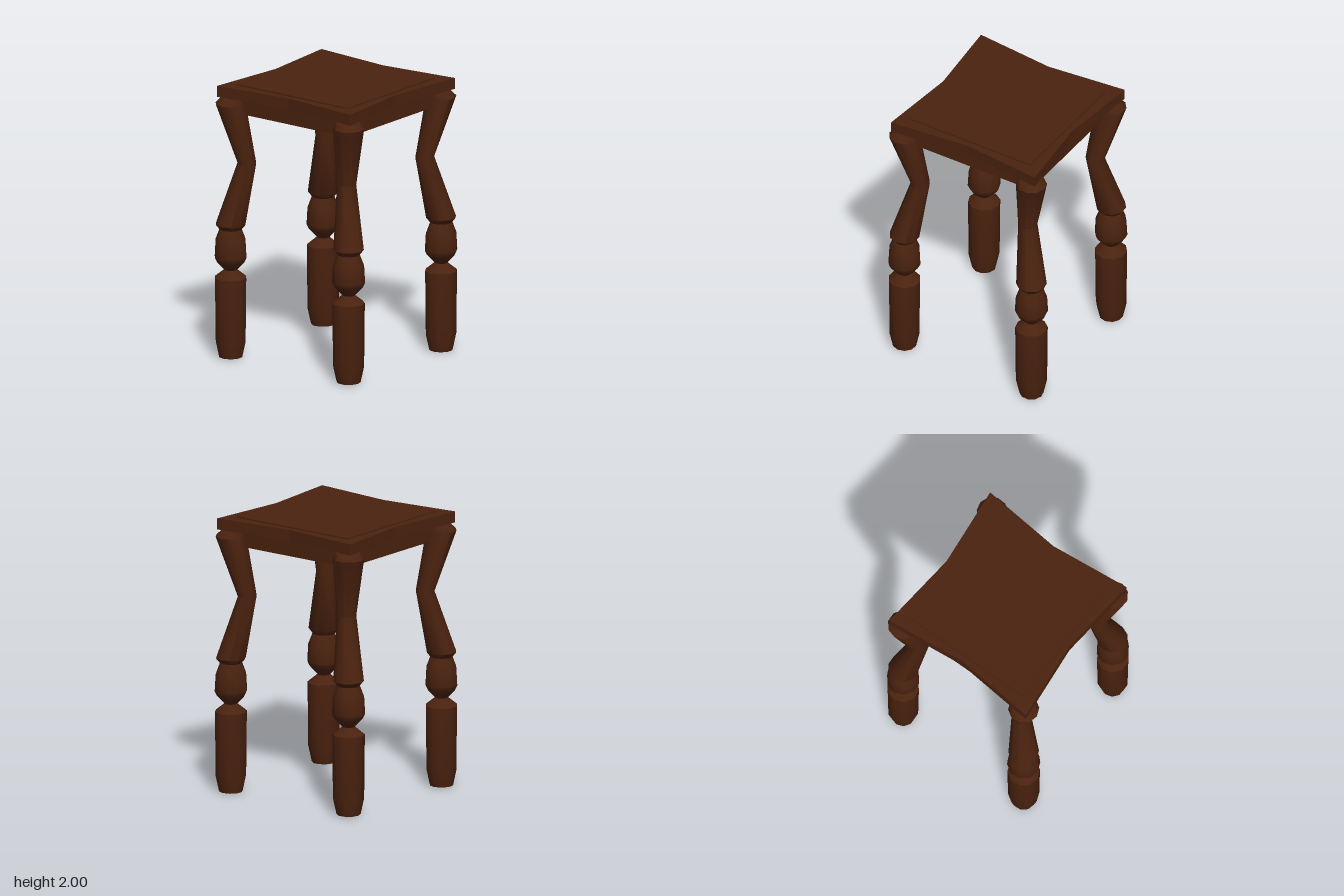
import * as THREE from 'three';
import { toCreasedNormals } from 'three/addons/utils/BufferGeometryUtils.js';

// Turned leg profile: radius, height, offset of the axis from the corner centre
const LEG = [
  [0, 0, 0], [0.085, 0.005, 0], [0.11, 0.12, 0], [0.115, 0.585, 0], [0.045, 0.642, 0],
  [0.1, 0.7, 0], [0.117, 0.735, 0], [0.11, 0.86, 0], [0.08, 0.94, 0],
  [0.108, 0.975, 0], [0.068, 1.42, -0.082], [0.11, 1.86, 0], [0.09, 1.9, -0.015], [0, 1.9, -0.015],
];
const CENTRE = 0.528;

// Leg that bows toward the stool's middle at the knee
function legGeometry(sx, sz, turn) {
  const geo = new THREE.LatheGeometry(LEG.map(([r, y]) => new THREE.Vector2(r, y)), 10);
  geo.rotateY(turn);
  const pos = geo.attributes.position;
  for (let i = 0; i < pos.count; i++) {
    const off = CENTRE + LEG[i % LEG.length][2];
    pos.setX(i, pos.getX(i) + sx * off);
    pos.setZ(i, pos.getZ(i) + sz * off);
  }
  return toCreasedNormals(geo, 0.75);
}

export function createModel() {
  const group = new THREE.Group();
  const wood = new THREE.MeshStandardMaterial({ color: 0x4a220f });
  wood.name = 'dark wood';

  const add = (name, geo, x = 0, y = 0, z = 0) => {
    const mesh = new THREE.Mesh(geo, wood);
    mesh.name = name;
    mesh.position.set(x, y, z);
    group.add(mesh);
    return mesh;
  };

  // Seat slab with edges drawn in at the middle
  const c = 0.597, m = 0.538;
  const outline = [[c, c], [0, m], [-c, c], [-m, 0], [-c, -c], [0, -m], [c, -c], [m, 0]];
  const shape = new THREE.Shape(outline.map(([x, y]) => new THREE.Vector2(x, y)));
  const slab = new THREE.ExtrudeGeometry(shape, { depth: 0.08, bevelEnabled: false });
  slab.rotateX(-Math.PI / 2);
  add('seatSlab', slab, 0, 1.91, 0);

  // Raised square panel running through the slab
  add('seatPanel', new THREE.BoxGeometry(0.995, 0.1, 0.995), 0, 1.95, 0);

  // Apron rails under the seat
  for (const s of [-1, 1]) {
    add(s > 0 ? 'frontApron' : 'backApron', new THREE.BoxGeometry(1.0, 0.11, 0.07), 0, 1.845, s * 0.475);
    add(s > 0 ? 'leftApron' : 'rightApron', new THREE.BoxGeometry(0.07, 0.11, 0.88), s * 0.475, 1.845, 0);
  }

  // Four legs, each turned a little differently
  for (const sx of [-1, 1]) {
    for (const sz of [-1, 1]) {
      const name = (sz > 0 ? 'front' : 'back') + (sx > 0 ? 'Left' : 'Right') + 'Leg';
      add(name, legGeometry(sx, sz, 0.15 * sx + 0.1 * sz));
    }
  }
  return group;
}
